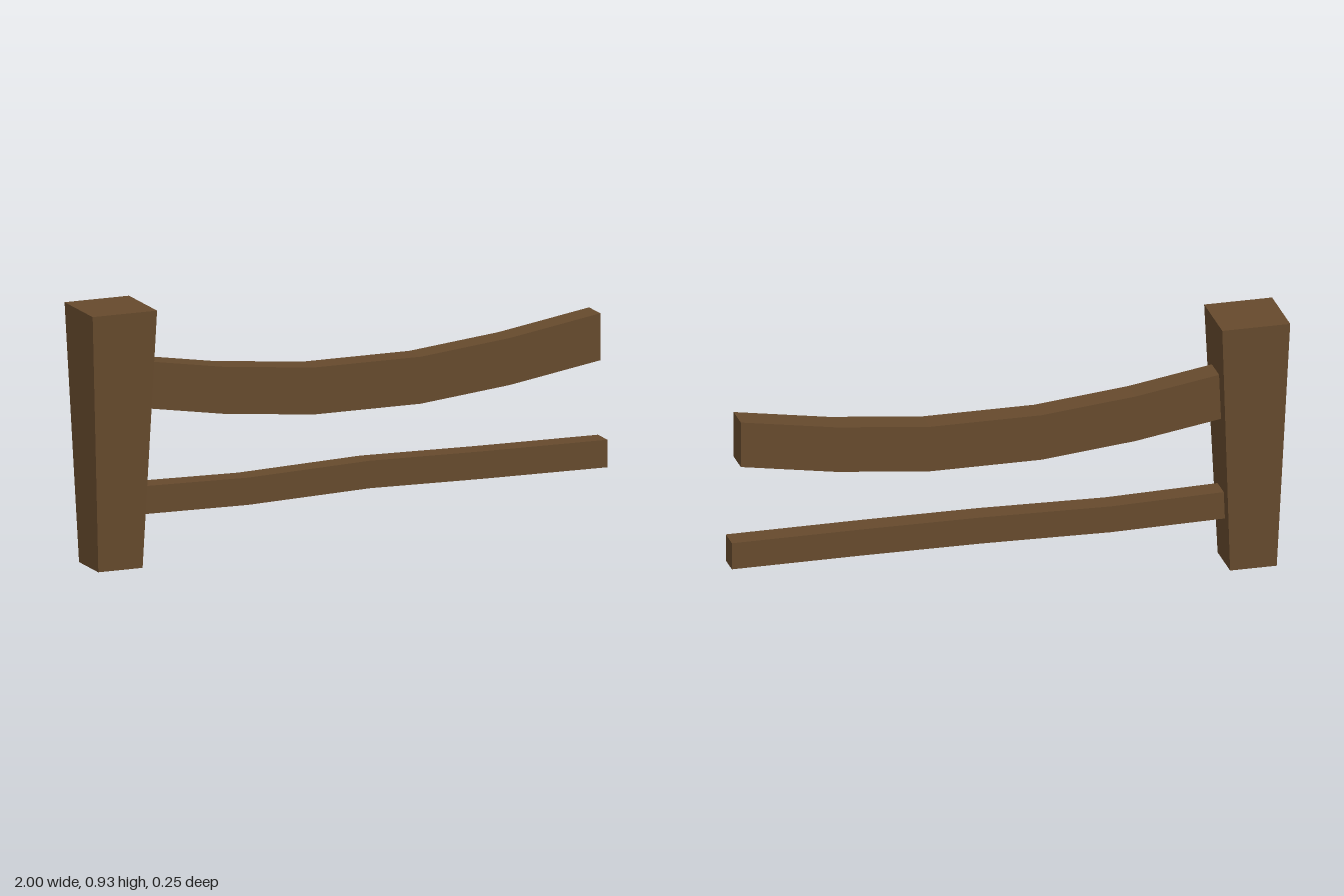
import * as THREE from 'three';

const wood = new THREE.MeshStandardMaterial({ color: 0x664a2d, flatShading: true });
wood.name = 'brown wood';

// Moves the vertices of a segmented box so it follows stations [x, bottom, top, back, front]
function rail(name, stations) {
  const n = stations.length - 1;
  const geo = new THREE.BoxGeometry(1, 1, 1, n, 1, 1);
  const p = geo.attributes.position;
  for (let i = 0; i < p.count; i++) {
    const [x, bottom, top, back, front] = stations[Math.round((p.getX(i) + 0.5) * n)];
    p.setXYZ(i, x, p.getY(i) > 0 ? top : bottom, p.getZ(i) > 0 ? front : back);
  }
  geo.computeVertexNormals();
  const mesh = new THREE.Mesh(geo, wood);
  mesh.name = name;
  return mesh;
}

// Square post, wider at the top
function post() {
  const geo = new THREE.BoxGeometry(1, 0.93, 1);
  geo.translate(0, 0.465, 0);
  const p = geo.attributes.position;
  for (let i = 0; i < p.count; i++) {
    const w = p.getY(i) > 0.5 ? 0.246 : 0.169;
    p.setX(i, p.getX(i) * w - 0.877);
    p.setZ(i, p.getZ(i) * w);
  }
  geo.computeVertexNormals();
  const mesh = new THREE.Mesh(geo, wood);
  mesh.name = 'post';
  return mesh;
}

export function createModel() {
  const group = new THREE.Group();
  group.name = 'fence';
  group.add(post());

  // Sagging upper rail
  group.add(rail('upperRail', [
    [-0.81, 0.740], [-0.46, 0.683], [-0.12, 0.649], [0.285, 0.649], [0.625, 0.684], [0.97, 0.740],
  ].map(([x, top]) => [x, top - 0.169, top, -0.049, 0.049])));

  // Slightly crooked lower rail
  group.add(rail('lowerRail', [
    [-0.82, 0.182, 0.283, -0.042, 0.042],
    [-0.37, 0.176, 0.274, -0.046, 0.038],
    [0.1, 0.189, 0.288, -0.057, 0.028],
    [0.53, 0.185, 0.284, -0.044, 0.04],
    [1.0, 0.182, 0.281, -0.04, 0.043],
  ]));
  return group;
}
